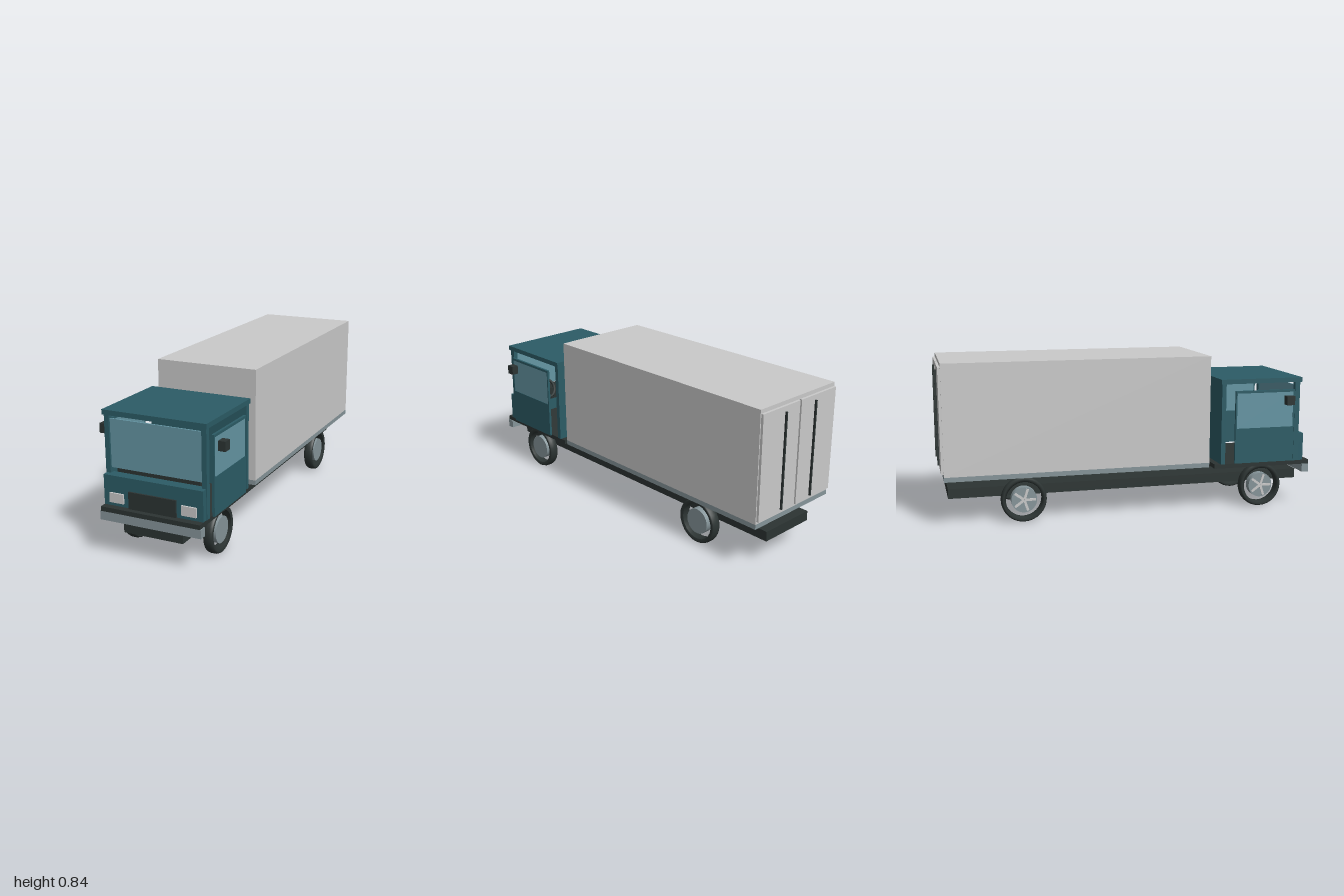
import * as THREE from 'three';

const mat = (name, color) => {
  const m = new THREE.MeshStandardMaterial({ color });
  m.name = name;
  return m;
};

export function createModel() {
  const teal = mat('cab teal', 0x2c5c66);
  const glass = mat('window blue', 0x6596a4);
  const black = mat('dark grey', 0x2c3433);
  const metal = mat('blue grey metal', 0x86959a);
  const white = mat('light grey', 0xcacaca);

  const truck = new THREE.Group();
  truck.name = 'boxTruck';

  // box given by its low and high corner on each axis
  const box = (name, m, [x0, x1], [y0, y1], [z0, z1], parent = truck) => {
    const mesh = new THREE.Mesh(new THREE.BoxGeometry(x1 - x0, y1 - y0, z1 - z0), m);
    mesh.position.set((x0 + x1) / 2, (y0 + y1) / 2, (z0 + z1) / 2);
    mesh.name = name;
    parent.add(mesh);
    return mesh;
  };
  // same box on the left and right sides
  const pair = (name, m, [a, b], y, z) => {
    box(name + 'Left', m, [a, b], y, z);
    box(name + 'Right', m, [-b, -a], y, z);
  };

  // chassis
  box('chassis', black, [-0.158, 0.158], [0.13, 0.182], [-0.955, 0.97]);

  // cargo body
  box('cargoBox', white, [-0.273, 0.273], [0.27, 0.842], [-0.977, 0.42]);
  box('cargoBase', metal, [-0.273, 0.273], [0.245, 0.27], [-0.977, 0.42]);
  pair('rearDoor', white, [0.006, 0.268], [0.285, 0.822], [-0.99, -0.977]);
  pair('rearDoorBar', black, [0.106, 0.114], [0.3, 0.795], [-1, -0.99]);

  // cab shell
  box('cabFloor', black, [-0.263, 0.263], [0.232, 0.255], [0.455, 1]);
  box('cabRoof', teal, [-0.273, 0.273], [0.69, 0.715], [0.483, 0.944]);
  box('cabRearWall', teal, [-0.267, 0.267], [0.255, 0.69], [0.488, 0.512]);
  pair('frontPillar', teal, [0.242, 0.267], [0.255, 0.69], [0.907, 0.935]);
  box('frontPanel', teal, [-0.263, 0.263], [0.255, 0.405], [0.91, 0.965]);
  box('windshield', glass, [-0.242, 0.242], [0.43, 0.67], [0.916, 0.925]);
  box('dashboard', black, [-0.22, 0.22], [0.36, 0.43], [0.83, 0.91]);

  // front details
  box('grille', black, [-0.126, 0.126], [0.255, 0.34], [0.965, 0.974]);
  pair('headlight', white, [0.154, 0.23], [0.273, 0.321], [0.965, 0.974]);
  box('bumper', metal, [-0.268, 0.268], [0.188, 0.232], [0.962, 1]);

  // doors, windows and mirrors
  const doorX = [0.273, 0.286];
  pair('doorPanel', teal, doorX, [0.26, 0.45], [0.56, 0.897]);
  pair('doorTop', teal, doorX, [0.64, 0.653], [0.56, 0.897]);
  pair('doorFrontFrame', teal, doorX, [0.45, 0.64], [0.889, 0.897]);
  pair('doorRearFrame', teal, doorX, [0.45, 0.64], [0.56, 0.568]);
  pair('doorWindow', glass, [0.275, 0.284], [0.45, 0.64], [0.568, 0.889]);
  pair('mirror', black, [0.296, 0.333], [0.574, 0.622], [0.833, 0.878]);

  // steering wheel
  const steering = new THREE.Mesh(new THREE.TorusGeometry(0.055, 0.008, 8, 24), black);
  steering.name = 'steeringWheel';
  steering.position.set(0.12, 0.45, 0.8);
  steering.rotation.x = 0.5;
  truck.add(steering);

  // wheels: rounded tyre ring, hub disc and five spokes on one face
  const tyreProfile = [
    [0.095, -0.022], [0.108, -0.026], [0.115, -0.022], [0.119, -0.01], [0.119, 0.01],
    [0.115, 0.022], [0.108, 0.026], [0.095, 0.022], [0.095, -0.022],
  ].map(([r, h]) => new THREE.Vector2(r, h));
  const tyreGeo = new THREE.LatheGeometry(tyreProfile, 32).rotateZ(Math.PI / 2);
  const hubGeo = new THREE.CylinderGeometry(0.067, 0.067, 0.04, 32).rotateZ(Math.PI / 2);
  const spokeGeo = new THREE.BoxGeometry(0.008, 0.058, 0.013).translate(0, 0.031, 0);
  for (const x of [-0.219, 0.219]) {
    for (const z of [0.73, -0.573]) {
      const wheel = new THREE.Group();
      wheel.name = (z > 0 ? 'front' : 'rear') + (x > 0 ? 'Left' : 'Right') + 'Wheel';
      wheel.position.set(x, 0.122, z);
      const tyre = new THREE.Mesh(tyreGeo, black);
      tyre.name = 'tyre';
      const hub = new THREE.Mesh(hubGeo, metal);
      hub.name = 'hub';
      wheel.add(tyre, hub);
      for (let i = 0; i < 5; i++) {
        const spoke = new THREE.Mesh(spokeGeo, white);
        spoke.name = 'spoke';
        spoke.position.x = -0.02;
        spoke.rotation.x = (i * Math.PI * 2) / 5 + Math.PI / 2;
        wheel.add(spoke);
      }
      truck.add(wheel);
    }
  }

  return truck;
}
